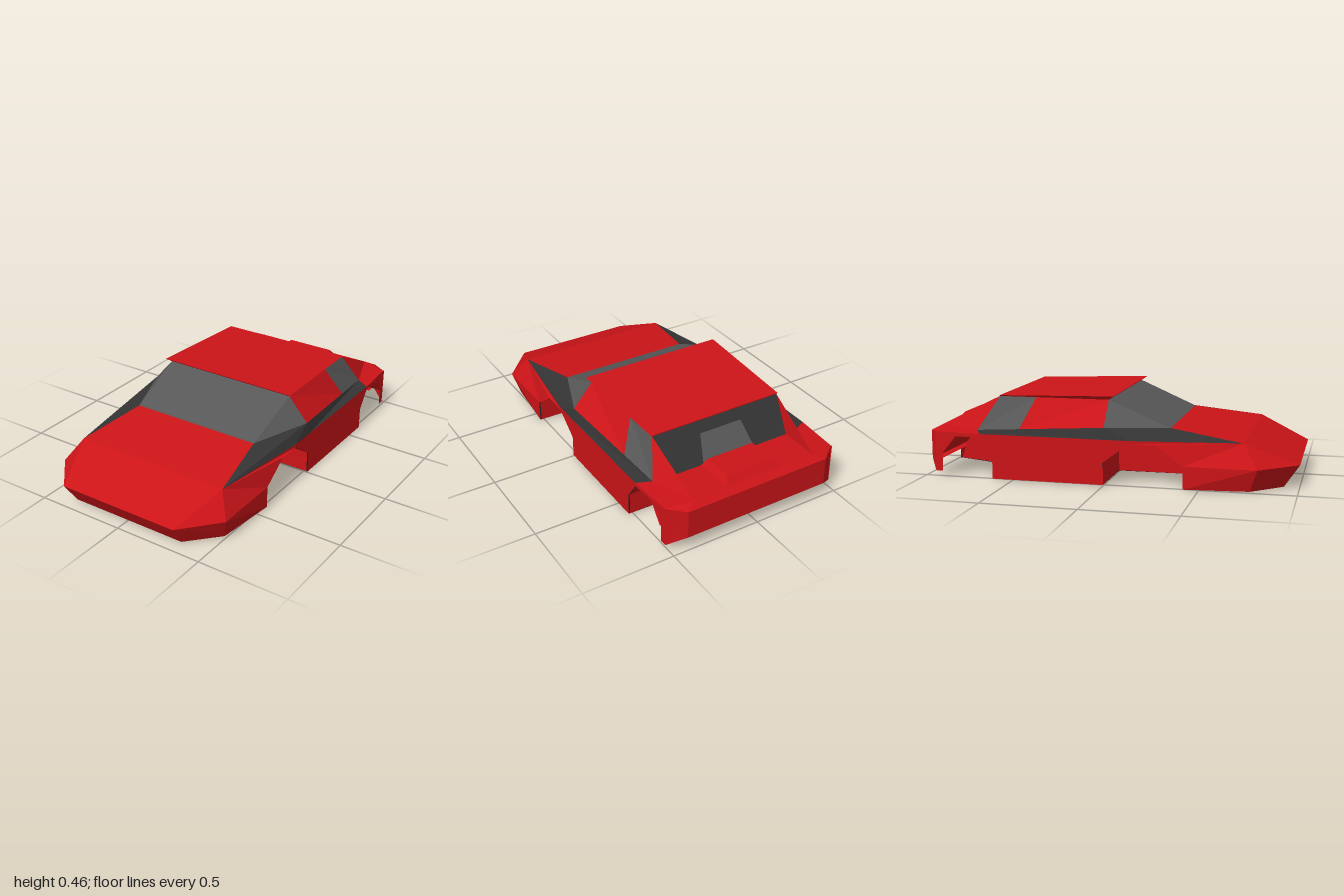
import * as THREE from 'three';

const paint = (color) => new THREE.MeshStandardMaterial({ color, flatShading: true, side: THREE.DoubleSide });
const RED = paint(0xcc1418), GLASS = paint(0x585858), DARK = paint(0x343434), BLACK = paint(0x181818);

export function createModel() {
  const car = new THREE.Group();
  const mirror = (pts) => pts.map(([x, y, z]) => [-x, y, z]);

  // Flat facets, each a fan from its first corner, turned to face away from the car's core
  function facets(name, material, polygons) {
    const pos = [];
    const core = new THREE.Vector3(0, 0.15, 0);
    for (const poly of polygons) {
      const v = poly.map((p) => new THREE.Vector3(...p));
      for (let i = 1; i < v.length - 1; i++) {
        let [a, b, c] = [v[0], v[i], v[i + 1]];
        const n = b.clone().sub(a).cross(c.clone().sub(a));
        if (n.lengthSq() < 1e-12) continue;
        const mid = a.clone().add(b).add(c).divideScalar(3).sub(core);
        if (n.dot(mid) < 0) [b, c] = [c, b];
        for (const p of [a, b, c]) pos.push(p.x, p.y, p.z);
      }
    }
    const g = new THREE.BufferGeometry();
    g.setAttribute('position', new THREE.Float32BufferAttribute(pos, 3));
    g.computeVertexNormals();
    const mesh = new THREE.Mesh(g, material);
    mesh.name = name;
    car.add(mesh);
  }
  // Facets on both sides of the car
  const pair = (name, material, polys) => facets(name, material, [...polys, ...polys.map(mirror)]);
  // A panel spanning the car between two points on its left edge
  const span = (a, b) => [a, b, ...mirror([b, a])];

  // Key points on the left half
  const noseTip = [0.35, 0.125, 1], noseLow = [0.34, 0.005, 0.92];
  const wingTip = [0.525, 0.125, 0.8], wingLow = [0.49, 0.005, 0.76];
  const bonnetFront = [0.45, 0.245, 0.72], screenBase = [0.38, 0.295, 0.33];
  const screenTop = [0.395, 0.435, 0], roofRear = [0.385, 0.432, -0.61];
  const shoulder = [0.508, 0.305, 0], shoulderRear = [0.45, 0.252, -0.72];
  const beltFront = [0.525, 0.245, 0.14], beltRear = [0.525, 0.245, -0.68];
  const deckFront = [0.37, 0.25, -0.73], deckRear = [0.365, 0.258, -0.96];
  const tailCorner = [0.51, 0.245, -0.93], tailTop = [0.42, 0.235, -1], tailLow = [0.42, 0.08, -1];

  // Nose and bonnet
  facets('nose', RED, [span(noseTip, noseLow), span(bonnetFront, noseTip)]);
  facets('bonnet', RED, [span(bonnetFront, screenBase)]);
  pair('frontWing', RED, [
    [noseTip, wingTip, wingLow, noseLow],
    [bonnetFront, noseTip, wingTip],
    [wingTip, [0.525, 0.125, 0.42], [0.525, 0.005, 0.42], wingLow],
    [bonnetFront, wingTip, [0.525, 0.125, 0.42], [0.525, 0.23, 0.27], [0.525, 0.23, 0.14], beltFront],
  ]);

  // Body side: columns of [z, lower edge, x] under the belt line
  const columns = [[0.14, 0.23, 0.525], [0, 0.125, 0.525], [0, 0.005, 0.525], [-0.61, 0.005, 0.525],
    [-0.61, 0.125, 0.525], [-0.68, 0.225, 0.525], [-0.82, 0.225, 0.516], [-0.9, 0.125, 0.511],
    [-0.9, 0.03, 0.511], [-0.94, 0.03, 0.51]];
  const sides = [];
  for (let i = 0; i < columns.length - 1; i++) {
    const [[z0, y0, x0], [z1, y1, x1]] = [columns[i], columns[i + 1]];
    if (z0 !== z1) sides.push([[x0, 0.245, z0], [x0, y0, z0], [x1, y1, z1], [x1, 0.245, z1]]);
  }
  pair('bodySide', RED, sides);

  // Wheel wells: an arch profile of [z, y] swept inward to an inner wall
  const wells = {
    frontWheelWell: [[0.42, 0.005], [0.42, 0.125], [0.27, 0.23], [0.14, 0.23], [0, 0.125], [0, 0.005]],
    rearWheelWell: [[-0.61, 0.005], [-0.61, 0.125], [-0.68, 0.225], [-0.82, 0.225], [-0.9, 0.125], [-0.93, 0.03]],
  };
  for (const [name, arch] of Object.entries(wells)) {
    const polys = [arch.map(([z, y]) => [0.17, y, z])];
    const count = name === 'rearWheelWell' ? arch.length - 2 : arch.length - 1;
    for (let i = 0; i < count; i++) {
      const [[z0, y0], [z1, y1]] = [arch[i], arch[i + 1]];
      polys.push([[0.17, y0, z0], [0.518, y0, z0], [0.518, y1, z1], [0.17, y1, z1]]);
    }
    pair(name, RED, polys);
  }

  // Underfloor as strips between [half width, y, z] stations
  const stations = [noseLow, wingLow, [0.525, 0.005, 0.42], [0.17, 0.005, 0.42], [0.17, 0.003, 0],
    [0.525, 0.005, 0], [0.525, 0.005, -0.61], [0.17, 0, -0.61], [0.17, 0.03, -0.94]];
  facets('underfloor', BLACK, stations.slice(1).map((s, i) => span(stations[i], s)));

  // Windscreen, side glass and the dark shoulder band
  facets('windscreen', GLASS, [span(screenBase, screenTop)]);
  pair('frontSideWindow', GLASS, [[screenBase, screenTop, shoulder]]);
  pair('shoulderBand', DARK, [
    [bonnetFront, screenBase, shoulder, beltFront],
    [beltFront, shoulder, [0.525, 0.245, 0]],
    [[0.525, 0.245, 0], shoulder, shoulderRear, beltRear],
  ]);

  // Cabin side split into door top and rear quarter window
  const mix = (a, b, t) => a.map((v, i) => v + (b[i] - v) * t);
  const splitTop = mix(screenTop, roofRear, 0.66), splitLow = mix(shoulder, shoulderRear, 0.66);
  pair('doorTop', RED, [[screenTop, splitTop, splitLow, shoulder]]);
  pair('quarterWindow', GLASS, [[splitTop, roofRear, shoulderRear, splitLow]]);

  // Roof panel, overhanging at the front
  const roofFrontTop = [0.415, 0.456, 0.03], roofRearTop = [0.392, 0.437, -0.61];
  facets('roof', RED, [span(roofFrontTop, roofRearTop), span(roofFrontTop, screenTop), span(roofRearTop, roofRear)]);
  pair('roofEdge', RED, [[roofFrontTop, roofRearTop, roofRear, screenTop]]);

  // Rear window between sloping buttresses
  facets('rearWindow', DARK, [span([0.385, 0.432, -0.61], deckFront)]);
  facets('rearWindowPane', GLASS, [span([0.125, 0.382, -0.65], [0.155, 0.262, -0.73])]);
  pair('buttress', RED, [[roofRear, shoulderRear, deckRear], [roofRear, deckRear, deckFront]]);

  // Rear deck, haunches and tail
  facets('rearDeck', RED, [span(deckFront, deckRear)]);
  pair('rearHaunch', RED, [[shoulderRear, beltRear, tailCorner, deckRear], [deckRear, tailCorner, tailTop]]);
  facets('rearBumper', RED, [span(deckRear, tailTop), span(tailTop, tailLow),
    span(tailLow, [0.42, 0.08, -0.94]), span([0.17, 0.08, -0.94], [0.17, 0.03, -0.94])]);
  pair('bumperCorner', RED, [[tailCorner, [0.51, 0.03, -0.94], tailLow, tailTop]]);

  // Engine cover hump on the deck
  const base = [[0.17, 0.25, -0.73], [0.165, 0.258, -0.95]], top = [[0.14, 0.283, -0.74], [0.14, 0.293, -0.92]];
  facets('engineCover', RED, [span(top[0], top[1]), span(base[0], top[0]), span(base[1], top[1])]);
  pair('engineCoverSide', RED, [[base[0], base[1], top[1], top[0]]]);

  return car;
}
